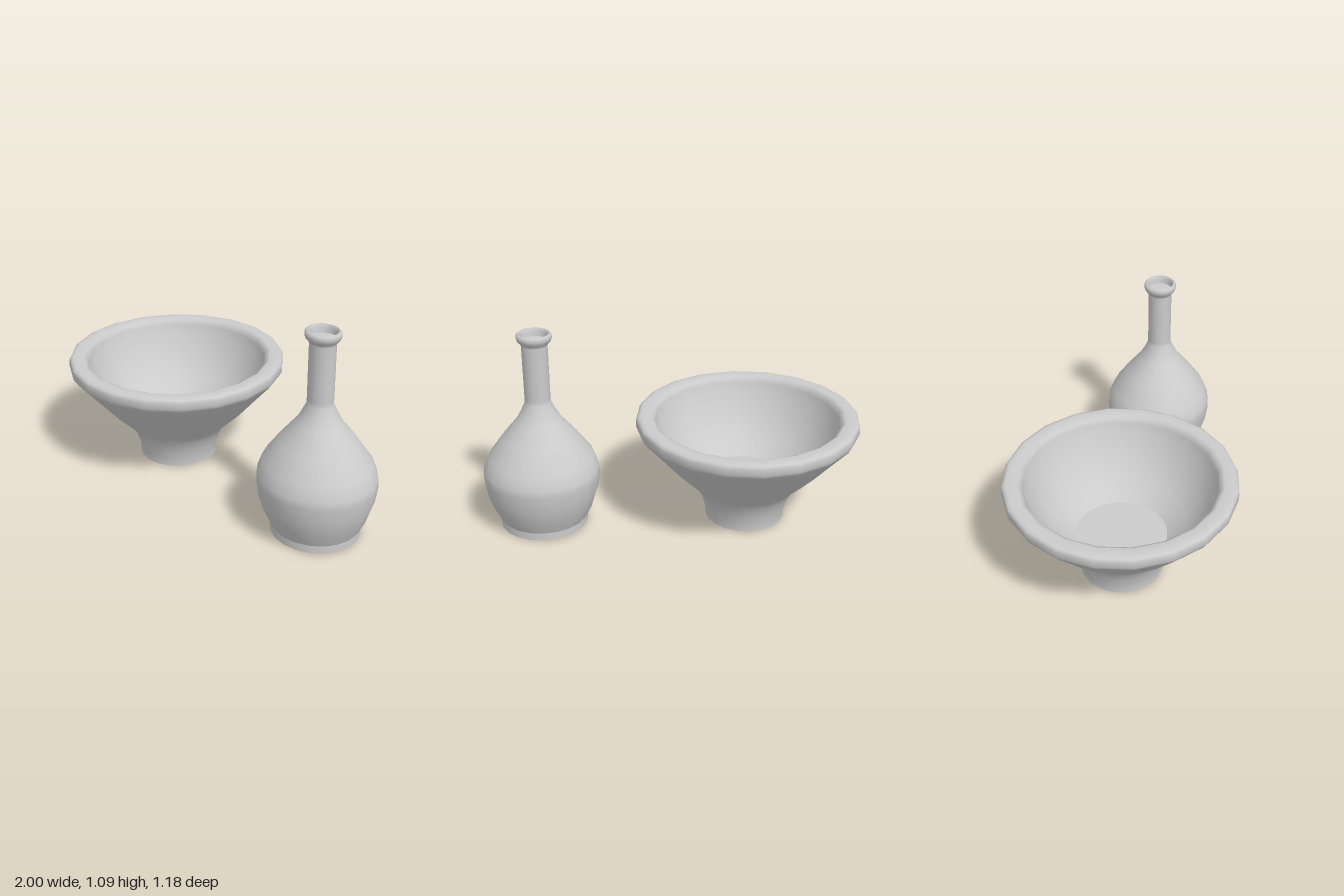
import * as THREE from 'three';

const SIDES = 20;

// Each profile is a smooth run of [radius, height]; separate runs keep sharp edges between them.
function turned(name, profiles) {
  const group = new THREE.Group();
  group.name = name;
  const material = new THREE.MeshStandardMaterial({ color: 0xcccccc, side: THREE.DoubleSide });
  for (const [part, points] of Object.entries(profiles)) {
    const profile = points.map(([r, y]) => new THREE.Vector2(r, y));
    const mesh = new THREE.Mesh(new THREE.LatheGeometry(profile, SIDES), material);
    mesh.name = part;
    group.add(mesh);
  }
  return group;
}

export function createModel() {
  const model = new THREE.Group();
  model.name = 'bowlAndBottle';

  // Wide bowl on a hollow foot, open underneath
  const bowl = turned('bowl', {
    bowlFoot: [[0.215, 0], [0.215, 0.04], [0.232, 0.1], [0.25, 0.15], [0.284, 0.2],
      [0.4, 0.315], [0.49, 0.42], [0.58, 0.523], [0.592, 0.545], [0.592, 0.578],
      [0.585, 0.593], [0.568, 0.6], [0.52, 0.6], [0.5, 0.59], [0.49, 0.565],
      [0.475, 0.51], [0.42, 0.4], [0.34, 0.295], [0.24, 0.22]],
    bowlFloor: [[0.24, 0.22], [0, 0.22]],
  });
  bowl.position.x = -0.408;

  // Long-necked bottle with a rounded lip and closed base
  const bottle = turned('bottle', {
    bottleBase: [[0, 0], [0.234, 0]],
    bottleFoot: [[0.234, 0], [0.234, 0.042]],
    bottleBody: [[0.234, 0.042], [0.272, 0.12], [0.297, 0.2], [0.31, 0.29], [0.306, 0.33],
      [0.28, 0.4], [0.2, 0.51], [0.12, 0.607], [0.095, 0.65], [0.068, 0.705],
      [0.067, 0.73], [0.067, 1.02], [0.072, 1.032], [0.086, 1.047], [0.091, 1.062],
      [0.09, 1.077], [0.08, 1.086], [0.074, 1.083], [0.07, 1.07], [0.066, 1.045]],
    bottleMouth: [[0.066, 1.045], [0, 1.045]],
  });
  bottle.position.x = 0.69;
  bottle.scale.z = 0.955;

  model.add(bowl, bottle);
  return model;
}
